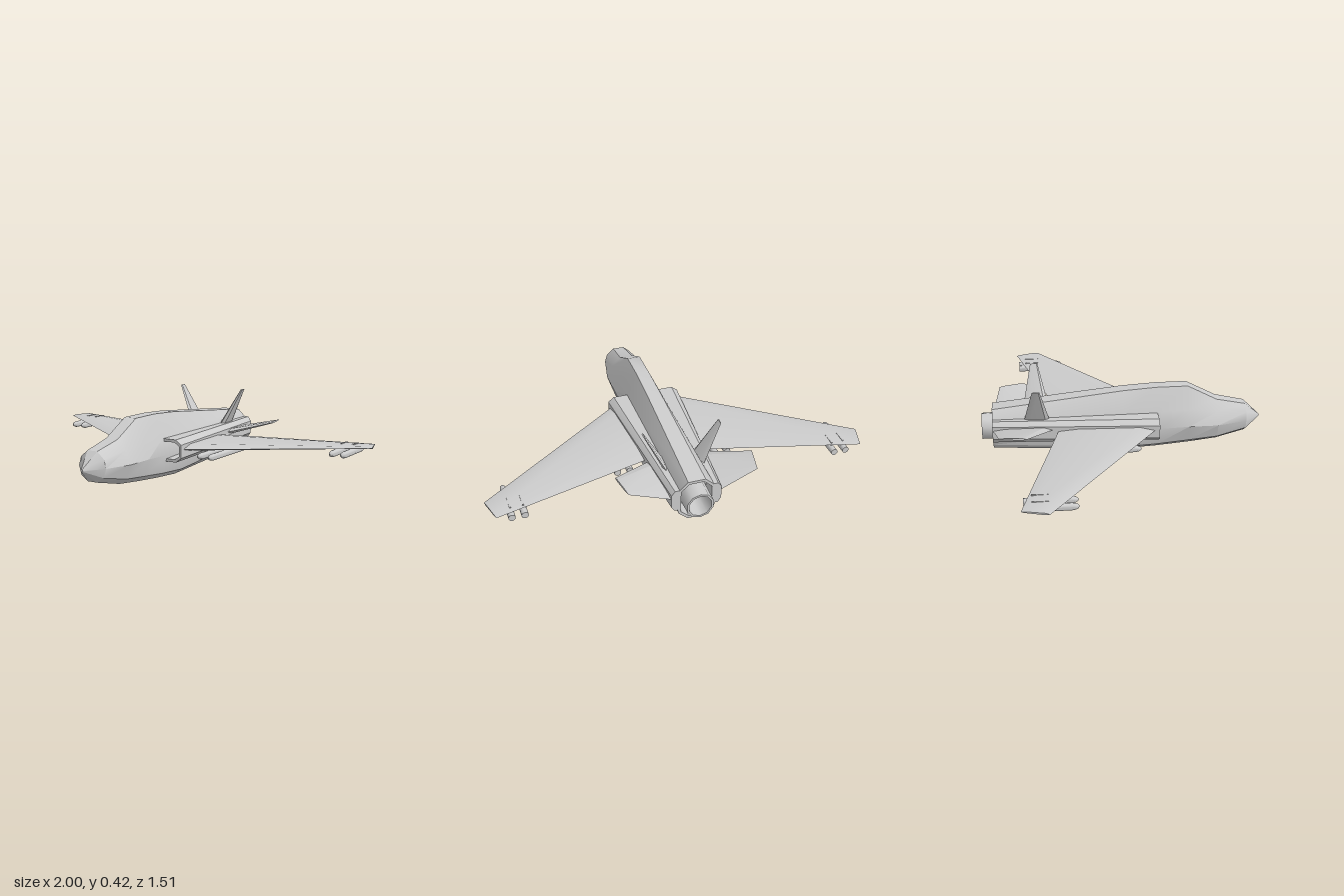
import * as THREE from 'three';
import { toCreasedNormals } from 'three/addons/utils/BufferGeometryUtils.js';

const grey = new THREE.MeshStandardMaterial({ color: 0xcccccc, side: THREE.DoubleSide });

// Skin between closed rings of [x, y, z] points, with optional end caps
function loft(rings, { mirror = false, capStart = true, capEnd = true, crease = 0.6 } = {}) {
  const n = rings[0].length;
  const positions = rings.flat().flatMap(([x, y, z]) => [mirror ? -x : x, y, z]);
  const index = [];
  for (let i = 0; i < rings.length - 1; i++) {
    for (let j = 0; j < n; j++) {
      const a = i * n + j, b = i * n + (j + 1) % n;
      index.push(a, b, a + n, b, b + n, a + n);
    }
  }
  const last = (rings.length - 1) * n;
  for (let j = 1; j < n - 1; j++) {
    if (capStart) index.push(0, j + 1, j);
    if (capEnd) index.push(last, last + j, last + j + 1);
  }
  if (mirror) index.reverse();
  const geometry = new THREE.BufferGeometry();
  geometry.setAttribute('position', new THREE.Float32BufferAttribute(positions, 3));
  geometry.setIndex(index);
  return toCreasedNormals(geometry, crease);
}

// Six-sided aerofoil section between a leading and a trailing point
function aerofoil(lead, trail, thick, normal) {
  const at = (t, h) => lead.map((v, k) => v + (trail[k] - v) * t + normal[k] * h * thick / 2);
  return [at(0, 0), at(0.15, -1), at(0.8, -0.7), at(1, 0), at(0.8, 0.7), at(0.15, 1)];
}

// Tapered panel from root to tip: each end is { lead, trail, thick }
function panel(root, tip, mirror) {
  const dx = tip.lead[0] - root.lead[0], dy = tip.lead[1] - root.lead[1];
  const len = Math.hypot(dx, dy);
  const normal = [-dy / len, dx / len, 0];
  return loft([root, tip].map(e => aerofoil(e.lead, e.trail, e.thick, normal)), { mirror, crease: 0.3 });
}

// Ten-point fuselage section, widest at (h, ym)
function section([z, top, t, s, ys, h, ym, l, yl, b, bottom]) {
  const half = [[t, top], [s, ys], [h, ym], [l, yl], [b, bottom]];
  const left = half.map(([x, y]) => [x, y, z]);
  return [...left, ...half.reverse().map(([x, y]) => [-x, y, z])];
}

// Ring shrunk about a centre and moved to another z
const shrink = (ring, cx, cy, k, z) => ring.map(([x, y]) => [cx + (x - cx) * k, cy + (y - cy) * k, z]);

// Turned shape along z from [radius, z] points
function turned(profile, sides) {
  const geometry = new THREE.LatheGeometry(profile.map(([r, z]) => new THREE.Vector2(r, z)), sides);
  geometry.rotateX(Math.PI / 2);
  return toCreasedNormals(geometry, 0.85);
}

export function createModel() {
  const model = new THREE.Group();
  const add = (name, geometry, parent = model) => {
    const mesh = new THREE.Mesh(geometry, grey);
    mesh.name = name;
    parent.add(mesh);
    return mesh;
  };

  // Fuselage with raised canopy, ending in a hollow rear rim
  const body = [
    [0.67, 0.235, 0.03, 0.07, 0.2, 0.083, 0.155, 0.068, 0.107, 0.03, 0.08],
    [0.51, 0.27, 0.035, 0.085, 0.22, 0.115, 0.15, 0.09, 0.075, 0.045, 0.045],
    [0.35, 0.355, 0.035, 0.085, 0.235, 0.115, 0.15, 0.09, 0.06, 0.05, 0.03],
    [0.18, 0.355, 0.035, 0.09, 0.235, 0.115, 0.145, 0.09, 0.045, 0.05, 0.016],
    [0, 0.344, 0.037, 0.09, 0.235, 0.113, 0.145, 0.088, 0.035, 0.045, 0.004],
    [-0.7, 0.27, 0.045, 0.093, 0.225, 0.112, 0.155, 0.09, 0.085, 0.045, 0.045],
  ].map(section);
  const rear = body[body.length - 1];
  add('fuselage', loft([
    ...body,
    shrink(rear, 0, 0.157, 0.87, -0.7),
    shrink(rear, 0, 0.157, 0.8, -0.62),
  ], { capStart: false }));

  // Pointed nose cone
  add('noseCone', loft([shrink(body[0], 0, 0.15, 0.08, 0.755), body[0]], { capEnd: false, crease: 0.45 }));

  // Hollow engine nozzle
  const nozzle = add('engineNozzle', turned(
    [[0.075, -0.6], [0.071, -0.757], [0.06, -0.757], [0.05, -0.6], [0, -0.6]], 10));
  nozzle.position.y = 0.157;

  // Missile, nose at the front
  const missile = length => turned([
    [0, 0], [0.009, -0.006], [0.015, -0.018], [0.018, -0.035],
    [0.018, -length], [0, -length]], 10);

  for (const [side, mirror] of [['left', false], ['right', true]]) {
    const sign = mirror ? -1 : 1;

    // Intake duct with a recessed mouth, tapering to the tail
    const mouth = [[0.08, 0.23], [0.168, 0.23], [0.2, 0.205], [0.2, 0.135], [0.168, 0.11], [0.08, 0.11]]
      .map(([x, y]) => [x, y, 0.18]);
    const throat = [[0.09, 0.215], [0.16, 0.215], [0.186, 0.196], [0.186, 0.143], [0.16, 0.125], [0.09, 0.125]]
      .map(([x, y]) => [x, y, 0.18]);
    const tail = [[0.08, 0.23], [0.112, 0.23], [0.13, 0.205], [0.13, 0.135], [0.112, 0.11], [0.08, 0.11]]
      .map(([x, y]) => [x, y, -0.7]);
    add(side + 'Intake', loft([shrink(throat, 0.12, 0.17, 0.85, 0.03), throat, mouth, tail],
      { mirror, crease: 0.3 }));

    // Swept main wing
    add(side + 'Wing', panel(
      { lead: [0.193, 0.178, 0.157], trail: [0.14, 0.178, -0.35], thick: 0.036 },
      { lead: [1, 0.174, -0.43], trail: [0.963, 0.174, -0.562], thick: 0.01 }, mirror));

    // Upswept tailplane
    add(side + 'Tailplane', panel(
      { lead: [0.12, 0.178, -0.36], trail: [0.11, 0.178, -0.7], thick: 0.03 },
      { lead: [0.362, 0.24, -0.52], trail: [0.335, 0.236, -0.662], thick: 0.01 }, mirror));

    // Canted tail fin
    add(side + 'TailFin', panel(
      { lead: [0.09, 0.21, -0.395], trail: [0.09, 0.21, -0.535], thick: 0.028 },
      { lead: [0.2, 0.424, -0.447], trail: [0.2, 0.424, -0.487], thick: 0.008 }, mirror));

    // Paired missiles under the wing root and the wing tip
    const stores = new THREE.Group();
    stores.name = side + 'Missiles';
    model.add(stores);
    for (const [x, y, z, length] of [
      [0.235, 0.128, 0.07, 0.42], [0.3, 0.128, 0.07, 0.42],
      [0.823, 0.145, -0.29, 0.26], [0.887, 0.145, -0.29, 0.26],
    ]) {
      add('missile', missile(length), stores).position.set(sign * x, y, z);
      const pylon = add('pylon', new THREE.BoxGeometry(0.008, 0.03, 0.08), stores);
      pylon.position.set(sign * x, y + 0.022, z - length * 0.7);
    }
  }
  return model;
}
